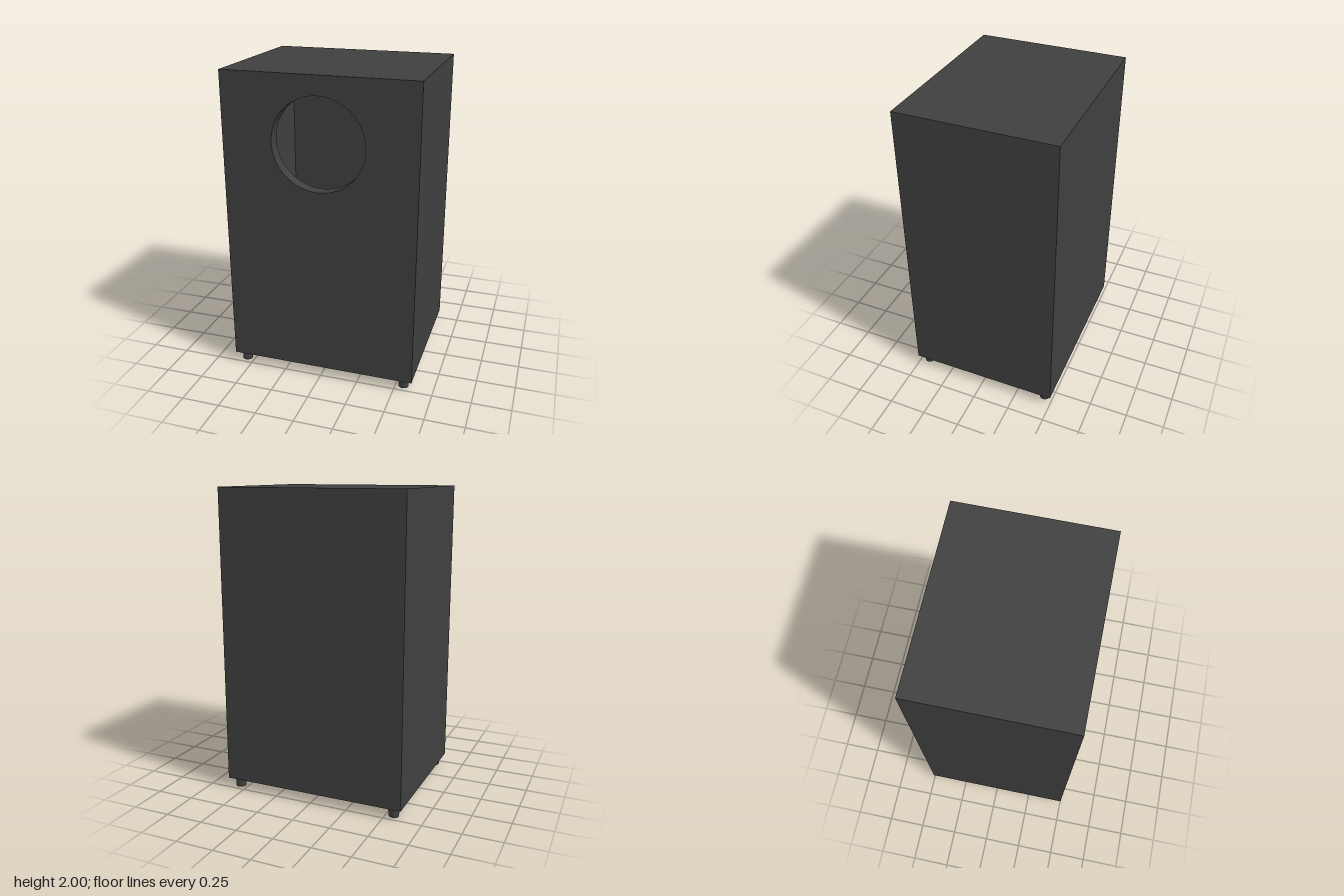
import * as THREE from 'three';

const W = 1.23, D = 1.0, BOTTOM = 0.065, TOP = 2;   // cabinet outside
const WALL = 0.082, BACK = 0.01;                    // panel thicknesses
const PORT_R = 0.294, PORT_Y = 1.585;               // round opening

export function createModel() {
  const model = new THREE.Group();
  model.name = 'speakerCabinet';
  const material = new THREE.MeshStandardMaterial({ color: 0x3f3f3f });
  const liner = new THREE.MeshStandardMaterial({ color: 0x3f3f3f, side: THREE.DoubleSide });

  const add = (name, geometry, x, y, z, mat = material) => {
    const mesh = new THREE.Mesh(geometry, mat);
    mesh.name = name;
    mesh.position.set(x, y, z);
    model.add(mesh);
    return mesh;
  };

  // Box with its +z side left open
  const openBox = (w, h, d) => {
    const g = new THREE.BoxGeometry(w, h, d);
    const index = Array.from(g.index.array);
    index.splice(24, 6);
    g.setIndex(index);
    g.clearGroups();
    return g;
  };

  // Flat rectangle with the round opening cut out
  const piercedPanel = (w, bottom, top) => {
    const shape = new THREE.Shape([
      new THREE.Vector2(-w / 2, bottom), new THREE.Vector2(w / 2, bottom),
      new THREE.Vector2(w / 2, top), new THREE.Vector2(-w / 2, top),
    ]);
    shape.holes.push(new THREE.Path().absarc(0, PORT_Y, PORT_R, 0, Math.PI * 2, true));
    return new THREE.ShapeGeometry(shape, 32);
  };

  // Outer shell and front
  const h = TOP - BOTTOM, midY = (TOP + BOTTOM) / 2;
  add('cabinetShell', openBox(W, h, D), 0, midY, 0);
  add('frontPanel', piercedPanel(W, BOTTOM, TOP), 0, 0, D / 2);

  // Hollow interior
  const innerW = W - 2 * WALL, innerD = D - WALL - BACK;
  add('cabinetInterior', openBox(innerW, h - 2 * WALL, innerD), 0, midY, (BACK - WALL) / 2, liner);
  add('frontPanelInside', piercedPanel(innerW, BOTTOM + WALL, TOP - WALL), 0, 0, D / 2 - WALL, liner);

  // Rim through the thickness of the front panel
  const rim = new THREE.CylinderGeometry(PORT_R, PORT_R, WALL, 64, 1, true).rotateX(Math.PI / 2);
  add('openingRim', rim, 0, PORT_Y, D / 2 - WALL / 2, liner);

  // Four round feet
  const foot = new THREE.CylinderGeometry(0.033, 0.033, BOTTOM, 24);
  for (const sx of [-1, 1]) {
    for (const sz of [-1, 1]) {
      const name = (sz > 0 ? 'front' : 'back') + (sx > 0 ? 'Left' : 'Right') + 'Foot';
      add(name, foot, sx * 0.553, BOTTOM / 2, sz * 0.442);
    }
  }
  return model;
}
